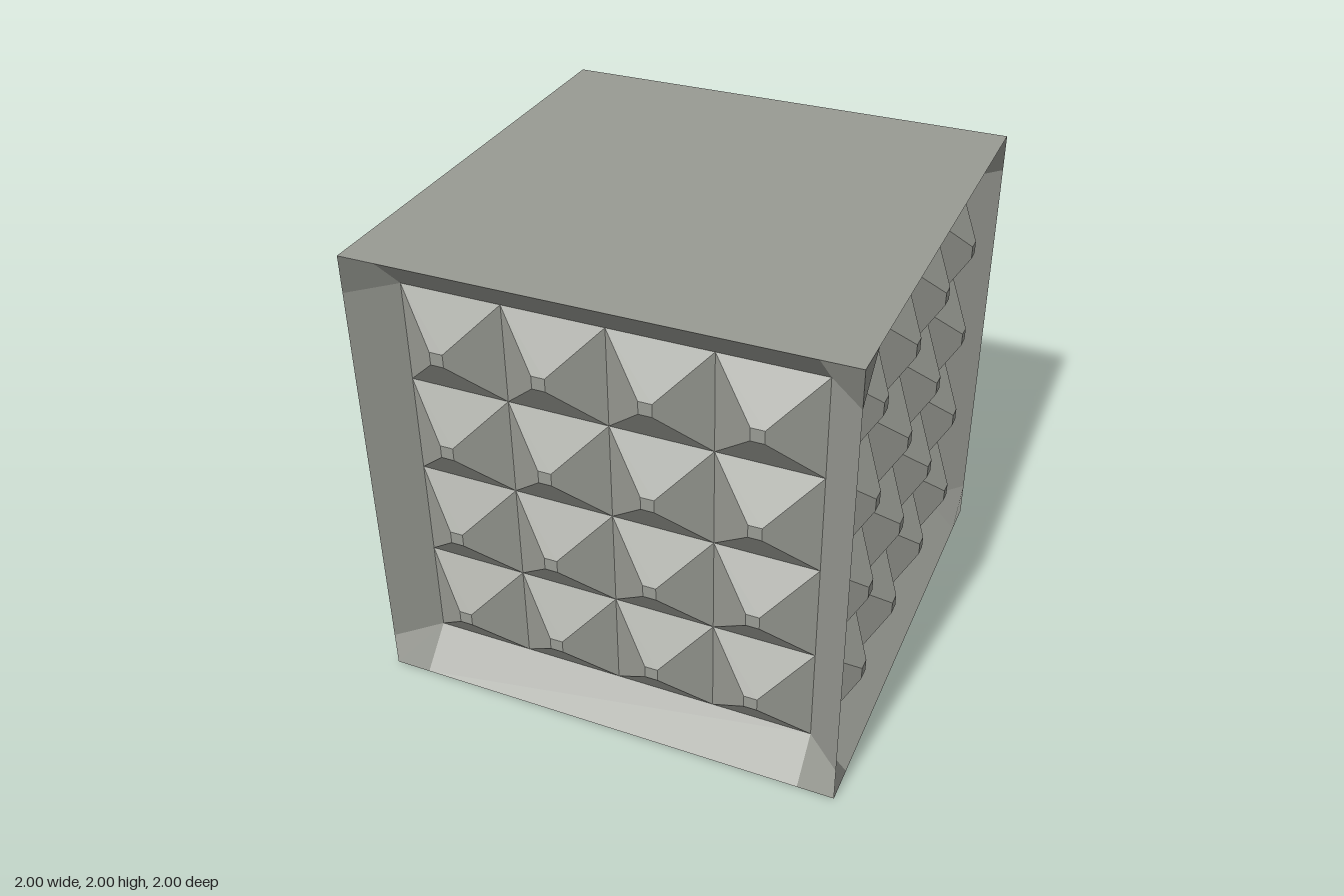
import * as THREE from 'three';
import { mergeGeometries } from 'three/addons/utils/BufferGeometryUtils.js';

const R = 0.845;        // half width of the recessed panel
const DEPTH = 0.852;    // distance of the recessed panel from the cube's axis
const CELL = R / 2;     // stud size, four per row
const TIP = 0.0275;     // half width of a stud's flat tip
const TIP_Z = 0.985;    // how far out a stud reaches

// Quad a-b-c-d (counter-clockwise), split along b-d, with one flat normal
function quad(a, b, c, d) {
  const [A, B, C, D] = [a, b, c, d].map((p) => new THREE.Vector3(...p));
  const n = C.clone().sub(A).cross(D.clone().sub(B)).normalize();
  const points = [A, B, D, B, C, D];
  const geo = new THREE.BufferGeometry().setFromPoints(points);
  const normals = points.flatMap(() => n.toArray());
  geo.setAttribute('normal', new THREE.Float32BufferAttribute(normals, 3));
  return geo;
}

// Repeat a geometry evenly around the z axis
function aroundZ(geo, count) {
  return Array.from({ length: count }, (_, i) => geo.clone().rotateZ(i * 2 * Math.PI / count));
}

// Splayed frame around a panel: four bars and twisted corners, folded alternately
function frameGeometry() {
  const bar = quad([-R, 1, 1], [-R, R, DEPTH], [R, R, DEPTH], [R, 1, 1]);
  const cornerOut = quad([-1, 1, 1], [-1, R, 1], [-R, R, DEPTH], [-R, 1, 1]);
  const cornerIn = quad([1, R, 1], [1, 1, 1], [R, 1, 1], [R, R, DEPTH]);
  return mergeGeometries([
    ...aroundZ(bar, 4), ...aroundZ(cornerOut, 2), ...aroundZ(cornerIn, 2),
  ]);
}

// Blunt pyramid standing on the recessed panel
function studGeometry() {
  const h = CELL / 2;
  const slope = quad([-TIP, TIP, TIP_Z], [TIP, TIP, TIP_Z], [h, h, DEPTH], [-h, h, DEPTH]);
  const tip = quad([-TIP, -TIP, TIP_Z], [TIP, -TIP, TIP_Z], [TIP, TIP, TIP_Z], [-TIP, TIP, TIP_Z]);
  return mergeGeometries([...aroundZ(slope, 4), tip]);
}

export function createModel() {
  const model = new THREE.Group();
  model.name = 'studdedCube';
  // Double sided because the upright corner edges are thin fins
  const stone = new THREE.MeshStandardMaterial({ color: 0x989a93, side: THREE.DoubleSide });
  stone.name = 'grey stone';

  const add = (parent, name, geo) => {
    const mesh = new THREE.Mesh(geo, stone);
    mesh.name = name;
    parent.add(mesh);
    return mesh;
  };

  // Flat top and bottom
  add(model, 'topFace', new THREE.PlaneGeometry(2, 2).rotateX(-Math.PI / 2)).position.y = 2;
  add(model, 'bottomFace', new THREE.PlaneGeometry(2, 2).rotateX(Math.PI / 2));

  // Four identical recessed sides
  const frame = frameGeometry();
  const stud = studGeometry();
  ['front', 'left', 'back', 'right'].forEach((name, i) => {
    const side = new THREE.Group();
    side.name = name + 'Side';
    side.position.y = 1;
    side.rotation.y = i * Math.PI / 2;
    add(side, 'frame', frame);
    for (let row = 0; row < 4; row++) {
      for (let col = 0; col < 4; col++) {
        add(side, 'stud', stud).position.set((col - 1.5) * CELL, (row - 1.5) * CELL, 0);
      }
    }
    model.add(side);
  });

  return model;
}
